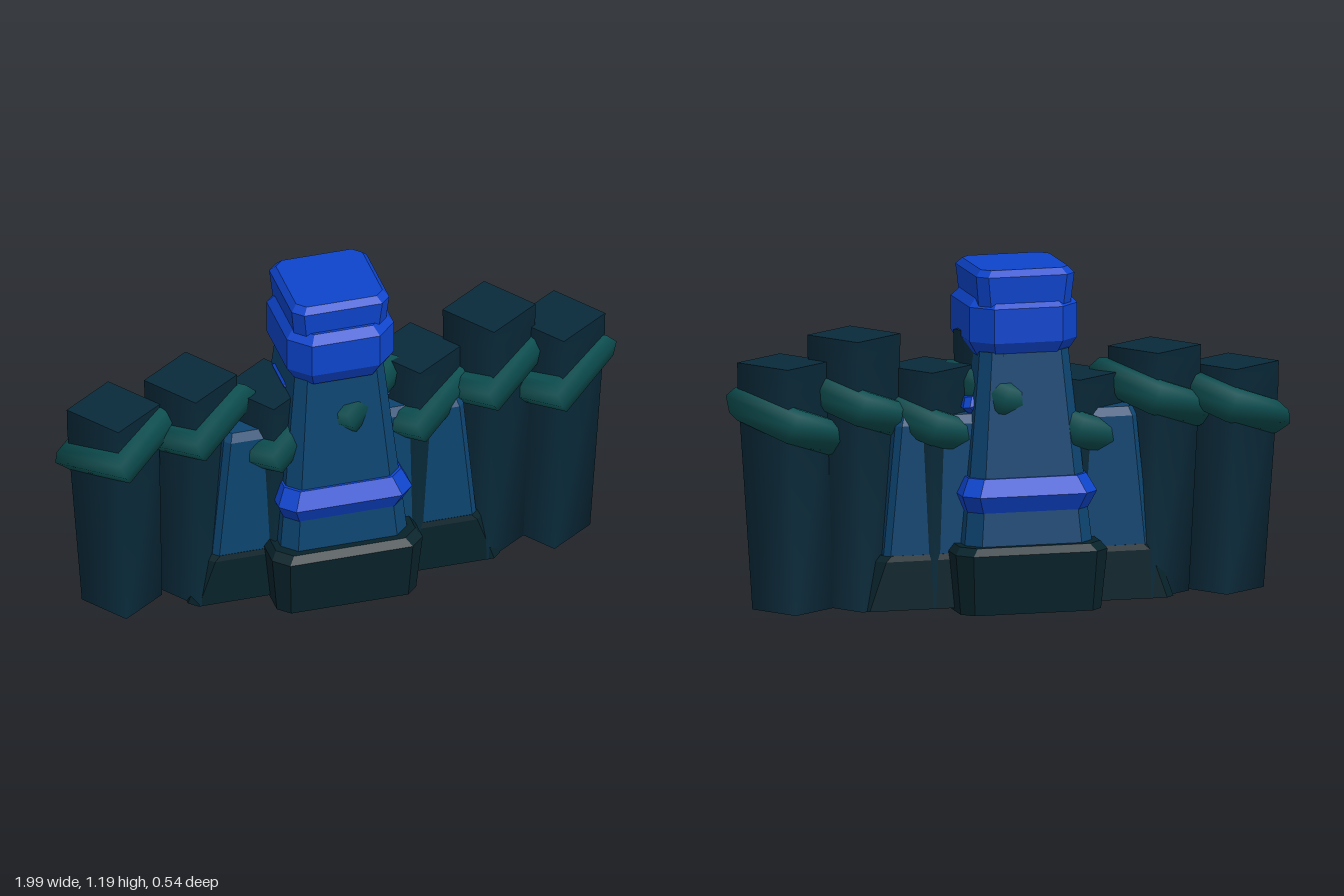
import * as THREE from 'three';

const paint = (color, flatShading, side = THREE.FrontSide) =>
  new THREE.MeshStandardMaterial({ color, flatShading, side });
const MAT = {
  blue: paint(0x0d44cc, true),
  stone: paint(0x0d4470, true, THREE.DoubleSide),
  base: paint(0x07222a, true, THREE.DoubleSide),
  post: paint(0x092a3a, false),
  rope: paint(0x0c4e50, false),
};

// Solid through a stack of rings, each counter-clockwise seen from above;
// the caps have their own vertices so their rims stay sharp
function loft(name, rings, material, closedBottom = true) {
  const n = rings[0].length;
  const last = rings.length - 1;
  const points = [...rings, rings[last], rings[0]].flat();
  const index = [];
  for (let r = 0; r < last; r++) {
    for (let i = 0; i < n; i++) {
      const a = r * n + i, b = r * n + (i + 1) % n;
      index.push(a, b, b + n, a, b + n, a + n);
    }
  }
  const top = rings.length * n, bottom = top + n;
  for (let i = 1; i < n - 1; i++) {
    index.push(top, top + i, top + i + 1);
    if (closedBottom) index.push(bottom, bottom + i + 1, bottom + i);
  }
  const geo = new THREE.BufferGeometry().setFromPoints(points);
  geo.setIndex(index);
  geo.computeVertexNormals();
  const mesh = new THREE.Mesh(geo, material);
  mesh.name = name;
  return mesh;
}

// Rectangle with cut corners
function cutRect(y, hx, hz, c) {
  return [
    [hx, hz - c], [hx, c - hz], [hx - c, -hz], [c - hx, -hz],
    [-hx, c - hz], [-hx, hz - c], [c - hx, hz], [hx - c, hz],
  ].map(([x, z]) => new THREE.Vector3(x, y, z));
}

// Square standing on its corner, turned a little
function diamond(y, radius, cx = 0) {
  return [0, 1, 2, 3].map((i) => {
    const a = -0.18 + i * Math.PI / 2;
    return new THREE.Vector3(cx + radius * Math.cos(a), y, -radius * Math.sin(a));
  });
}

// Each section is [y, half width, half depth, corner cut]
const stack = (name, sections, material, closedBottom) =>
  loft(name, sections.map((s) => cutRect(...s)), material, closedBottom);

function createTower() {
  const tower = new THREE.Group();
  tower.name = 'tower';
  const head = stack('towerHead', [
    [0.875, 0.155, 0.155, 0.05], [0.935, 0.192, 0.193, 0.07],
    [1.055, 0.192, 0.193, 0.07], [1.085, 0.165, 0.165, 0.06],
  ], MAT.blue);
  head.position.z = 0.012;
  tower.add(
    head,
    stack('towerBase', [
      [0, 0.25, 0.25, 0.04], [0.21, 0.27, 0.272, 0.05], [0.235, 0.25, 0.25, 0.05],
    ], MAT.base, false),
    stack('towerShaft', [
      [0.2, 0.23, 0.23, 0.05], [0.9, 0.158, 0.155, 0.035],
    ], MAT.stone, false),
    stack('towerBand', [
      [0.35, 0.215, 0.215, 0.045], [0.41, 0.24, 0.246, 0.05], [0.468, 0.21, 0.21, 0.045],
    ], MAT.blue),
    stack('towerCap', [
      [1.04, 0.162, 0.163, 0.035], [1.165, 0.175, 0.172, 0.035], [1.187, 0.155, 0.152, 0.03],
    ], MAT.blue),
  );
  tower.position.x = -0.023;
  return tower;
}

function createWall() {
  const wall = new THREE.Group();
  wall.name = 'wall';
  wall.add(
    stack('wallBase', [
      [0.01, 0.56, 0.133, 0.03], [0.18, 0.5, 0.13, 0.03], [0.2, 0.48, 0.125, 0.03],
    ], MAT.base, false),
    stack('wallBody', [
      [0.18, 0.475, 0.124, 0.02], [0.65, 0.43, 0.118, 0.02], [0.68, 0.42, 0.1, 0.02],
    ], MAT.stone, false),
  );
  // Slanted trim passing behind the tower shaft
  const trim = stack('wallTrim', [
    [-0.03, 0.18, 0.07, 0.02], [0, 0.2, 0.09, 0.02], [0.03, 0.18, 0.07, 0.02],
  ], MAT.blue);
  trim.position.set(-0.005, 0.75, -0.03);
  trim.rotation.z = -0.25;
  wall.add(trim);
  return wall;
}

function createPost([x, height, ropeY]) {
  const post = new THREE.Group();
  post.name = 'post';
  // The beam leans slightly outwards and widens upwards
  const lean = 0.02 * x;
  post.add(loft('postBeam', [
    diamond(0.01, 0.139, -lean), diamond(height - 0.09, 0.159, lean), diamond(height, 0.161, lean),
  ], MAT.post));
  // Tilted binding with a bulging outer edge
  const binding = loft('postBinding', [
    [-0.065, 0.165], [-0.05, 0.2], [0, 0.233], [0.04, 0.212], [0.058, 0.165],
  ].map(([y, r]) => diamond(y, r)), MAT.rope);
  binding.position.y = ropeY;
  binding.rotation.z = 0.4;
  post.add(binding);
  post.position.x = x;
  return post;
}

export function createModel() {
  const model = new THREE.Group();
  model.name = 'fortifiedWall';
  model.add(createTower(), createWall());
  // x, height, binding height
  const posts = [
    [-0.782, 0.8, 0.67], [-0.51, 0.87, 0.71], [-0.235, 0.79, 0.61], [0.03, 0.955, 0.73],
    [0.28, 0.84, 0.64], [0.54, 0.96, 0.72], [0.785, 0.875, 0.67],
  ];
  posts.forEach((p) => model.add(createPost(p)));
  return model;
}
